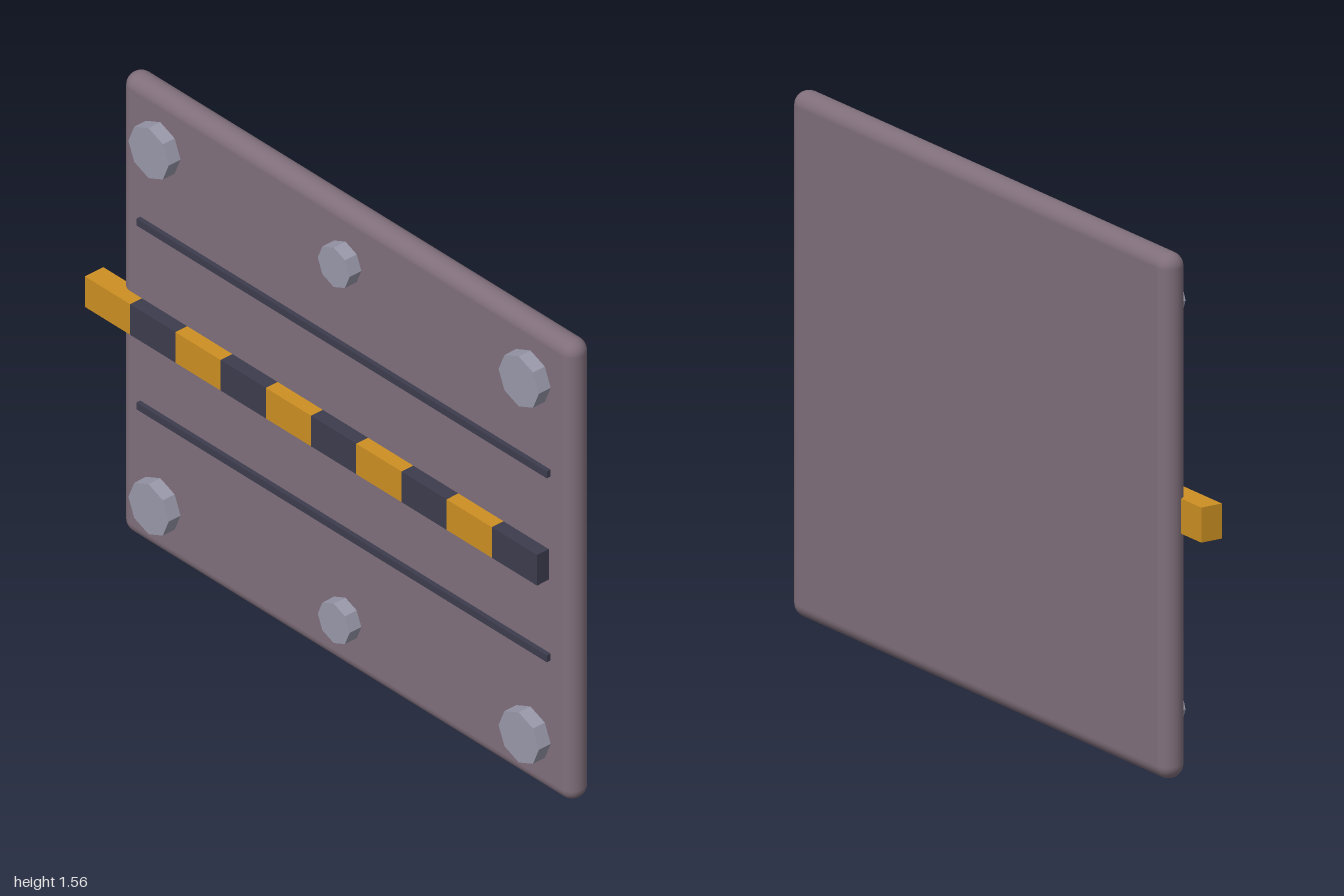
import * as THREE from 'three';
import { RoundedBoxGeometry } from 'three/addons/geometries/RoundedBoxGeometry.js';

export function createModel() {
  const model = new THREE.Group();
  model.name = 'hazardPanel';

  const material = (name, color, flatShading = false) => {
    const m = new THREE.MeshStandardMaterial({ color, flatShading });
    m.name = name;
    return m;
  };
  const plateMauve = material('plateMauve', 0x806f7b);
  const hazardAmber = material('hazardAmber', 0xcc8f22);
  const darkSlate = material('darkSlate', 0x3c3c4e);
  const boltSteel = material('boltSteel', 0x9898aa, true);

  const add = (name, geometry, mat, x, y, z) => {
    const mesh = new THREE.Mesh(geometry, mat);
    mesh.name = name;
    mesh.position.set(x, y, z);
    model.add(mesh);
    return mesh;
  };

  const centreX = 0.048;
  const midY = 0.78;

  // Rounded backing plate
  add('plate', new RoundedBoxGeometry(1.9, 1.56, 0.085, 4, 0.042), plateMauve, centreX, midY, -0.0225);

  // Striped bar of ten alternating blocks, overhanging one side
  const blockGeometry = new THREE.BoxGeometry(0.1905, 0.104, 0.07);
  for (let i = 0; i < 10; i++) {
    add('barBlock', blockGeometry, i % 2 ? darkSlate : hazardAmber, -1 + 0.1905 * (i + 0.5), 0.782, 0.03);
  }

  // Thin raised strips above and below the bar
  const stripGeometry = new THREE.BoxGeometry(1.73, 0.023, 0.03);
  for (const side of [-1, 1]) {
    add('strip', stripGeometry, darkSlate, centreX, midY + 0.004 + side * 0.313, 0.02);
  }

  // Eight-sided bolts: large at the corners, smaller in the middle
  for (const y of [0.175, 1.387]) {
    for (const column of [-1, 0, 1]) {
      const radius = column ? 0.085 : 0.067;
      const bolt = new THREE.CylinderGeometry(radius, radius, 0.06, 8).rotateX(Math.PI / 2);
      add('bolt', bolt, boltSteel, centreX + column * 0.78, y, 0.035);
    }
  }

  return model;
}
